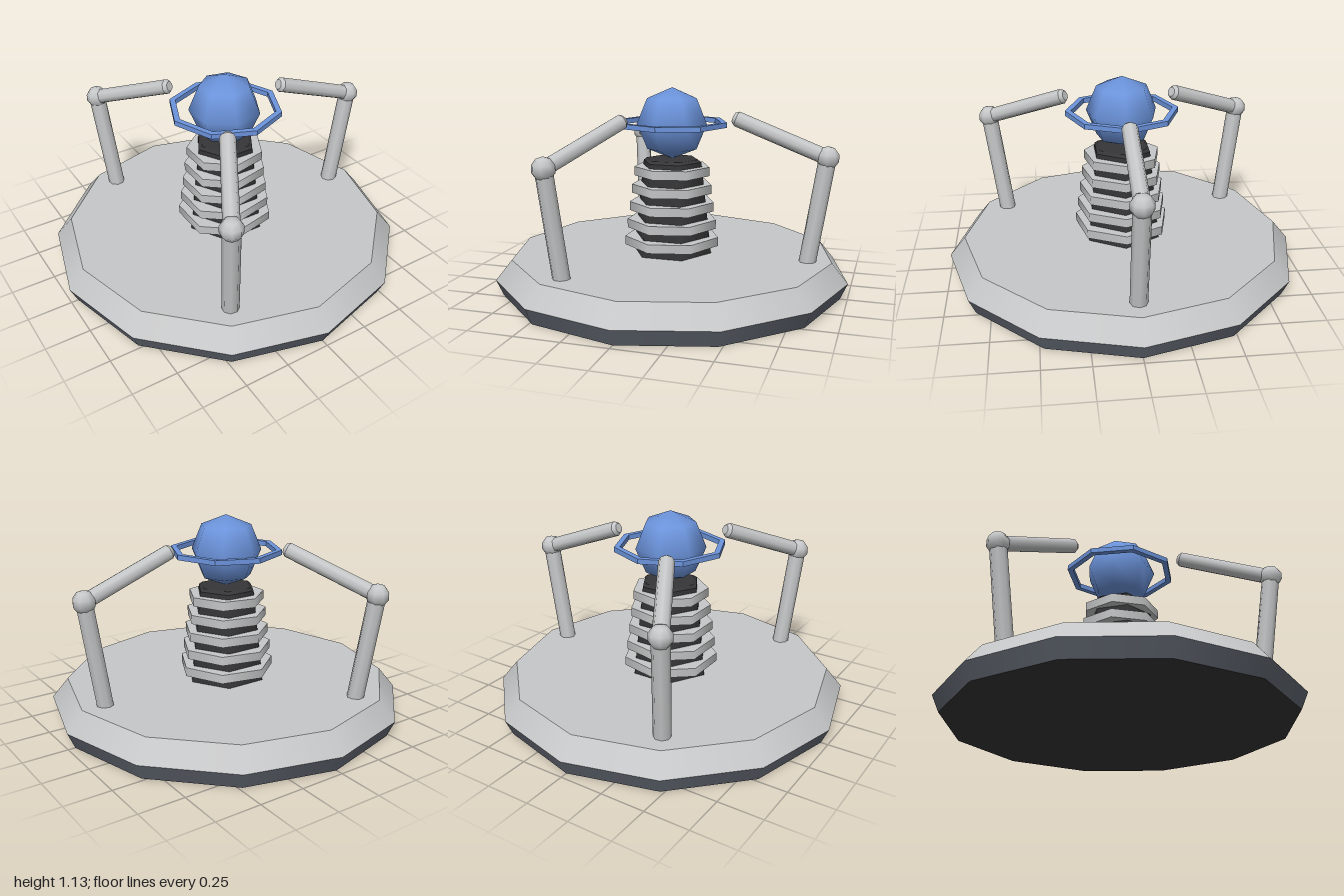
import * as THREE from 'three';

const mat = (name, color) => {
  const m = new THREE.MeshStandardMaterial({ color });
  m.name = name;
  return m;
};

export function createModel() {
  const model = new THREE.Group();
  model.name = 'sphereMachine';
  const lightGrey = mat('lightGrey', 0xc6c7c8);
  const slate = mat('slate', 0x636973);
  const dark = mat('dark', 0x363638);
  const blue = mat('blue', 0x6c94dc);

  const add = (parent, name, geometry, material, y = 0) => {
    const mesh = new THREE.Mesh(geometry, material);
    mesh.name = name;
    mesh.position.y = y;
    parent.add(mesh);
    return mesh;
  };
  // upright prism between two heights, with one corner on +x
  const prism = (name, rTop, rBottom, y0, y1, sides, material) => {
    const g = new THREE.CylinderGeometry(rTop, rBottom, y1 - y0, sides);
    g.rotateY(Math.PI / 2);
    return add(model, name, g, material, (y0 + y1) / 2);
  };

  // twelve-sided base: the lower cylinder's groups are side, top, bottom
  prism('baseLower', 1, 0.96, 0, 0.09, 12, [slate, slate, dark]);
  prism('baseUpper', 0.91, 1, 0.09, 0.2, 12, lightGrey);

  // tapering dark core with five pale rings
  prism('core', 0.17, 0.23, 0.2, 0.72, 6, dark);
  prism('coreCap', 0.15, 0.17, 0.72, 0.735, 6, dark);
  for (let i = 0; i < 5; i++) {
    const y = 0.245 + i * 0.1;
    const r = 0.27 - i * 0.0135;
    prism('coreRing' + (i + 1), r, r, y, y + 0.05, 7, lightGrey);
  }

  // floating ball
  add(model, 'ball', new THREE.SphereGeometry(0.2, 7, 4).rotateY(Math.PI), blue, 0.935);

  // thin eight-sided hoop with a square section
  const hoop = new THREE.Shape().absarc(0, 0, 0.313, 0, Math.PI * 2);
  const corners = (r) => Array.from({ length: 8 }, (_, i) =>
    new THREE.Vector2(r * Math.cos(i * Math.PI / 4), r * Math.sin(i * Math.PI / 4)));
  hoop.curves = [];
  hoop.setFromPoints(corners(0.313));
  hoop.holes.push(new THREE.Path().setFromPoints(corners(0.28).reverse()));
  const hoopGeometry = new THREE.ExtrudeGeometry(hoop, { depth: 0.028, bevelEnabled: false });
  hoopGeometry.rotateX(-Math.PI / 2);
  add(model, 'hoop', hoopGeometry, blue, 0.92);

  // rod between two points, optionally with a chamfered tip
  const rod = (parent, name, from, to, r, tip) => {
    const length = from.distanceTo(to);
    const body = length - tip;
    const g = new THREE.CylinderGeometry(r, r, body, 8).translate(0, body / 2, 0);
    const group = new THREE.Group();
    group.name = name;
    add(group, name + 'Body', g, lightGrey);
    if (tip > 0) {
      add(group, name + 'Tip', new THREE.CylinderGeometry(r * 0.65, r, tip, 8), lightGrey, body + tip / 2);
    }
    group.position.copy(from);
    group.quaternion.setFromUnitVectors(new THREE.Vector3(0, 1, 0), to.clone().sub(from).normalize());
    parent.add(group);
  };

  // three jointed arms reaching towards the ball
  const foot = new THREE.Vector3(0.775, 0.19, 0);
  const elbow = new THREE.Vector3(0.865, 0.78, 0);
  const tip = new THREE.Vector3(0.35, 0.978, 0);
  for (let i = 0; i < 3; i++) {
    const arm = new THREE.Group();
    arm.name = 'arm' + (i + 1);
    rod(arm, 'lowerArm', foot, elbow, 0.047, 0);
    rod(arm, 'upperArm', elbow, tip, 0.043, 0.02);
    const joint = add(arm, 'elbow', new THREE.SphereGeometry(0.063, 8, 5), lightGrey);
    joint.position.copy(elbow);
    arm.rotation.y = i * Math.PI * 2 / 3;
    model.add(arm);
  }
  return model;
}
